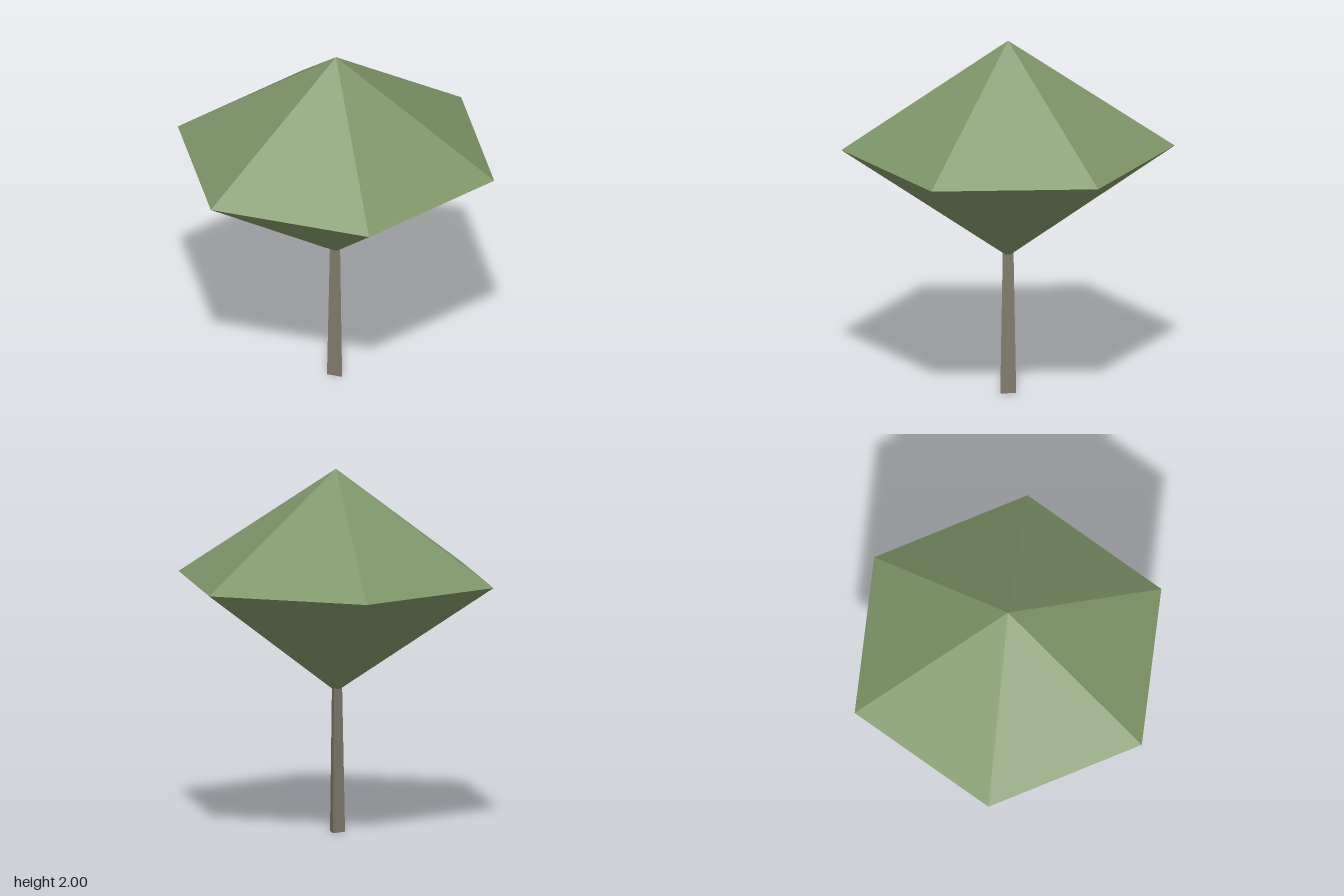
import * as THREE from 'three';

export function createModel() {
  const tree = new THREE.Group();
  tree.name = 'tree';

  const leafGreen = new THREE.MeshStandardMaterial({ color: 0x7d9468 });
  leafGreen.name = 'leaf green';
  const barkBrown = new THREE.MeshStandardMaterial({ color: 0x7f786b });
  barkBrown.name = 'bark brown';

  const add = (name, geometry, material, y) => {
    // Unshared corners give every facet its own flat normal
    const flat = geometry.toNonIndexed();
    flat.computeVertexNormals();
    const mesh = new THREE.Mesh(flat, material);
    mesh.name = name;
    mesh.position.y = y;
    tree.add(mesh);
  };

  // Three-sided tapering trunk with one edge facing forward
  add('trunk', new THREE.CylinderGeometry(0.034, 0.05, 0.8, 3), barkBrown, 0.4);

  // Six-sided crown: a cone above and a slightly blunted one below the rim
  const rim = 0.908, rimY = 1.39, baseY = 0.79;
  const turn = Math.PI / 6;
  add('upperCrown', new THREE.ConeGeometry(rim, 2 - rimY, 6, 1, true, turn), leafGreen, (2 + rimY) / 2);
  add('lowerCrown', new THREE.CylinderGeometry(rim, 0.025, rimY - baseY, 6, 1, true, turn), leafGreen, (rimY + baseY) / 2);

  // Small cap closing the underside of the crown
  const cap = new THREE.CircleGeometry(0.025, 6).rotateX(Math.PI / 2);
  add('crownBase', cap, leafGreen, baseY);

  return tree;
}
